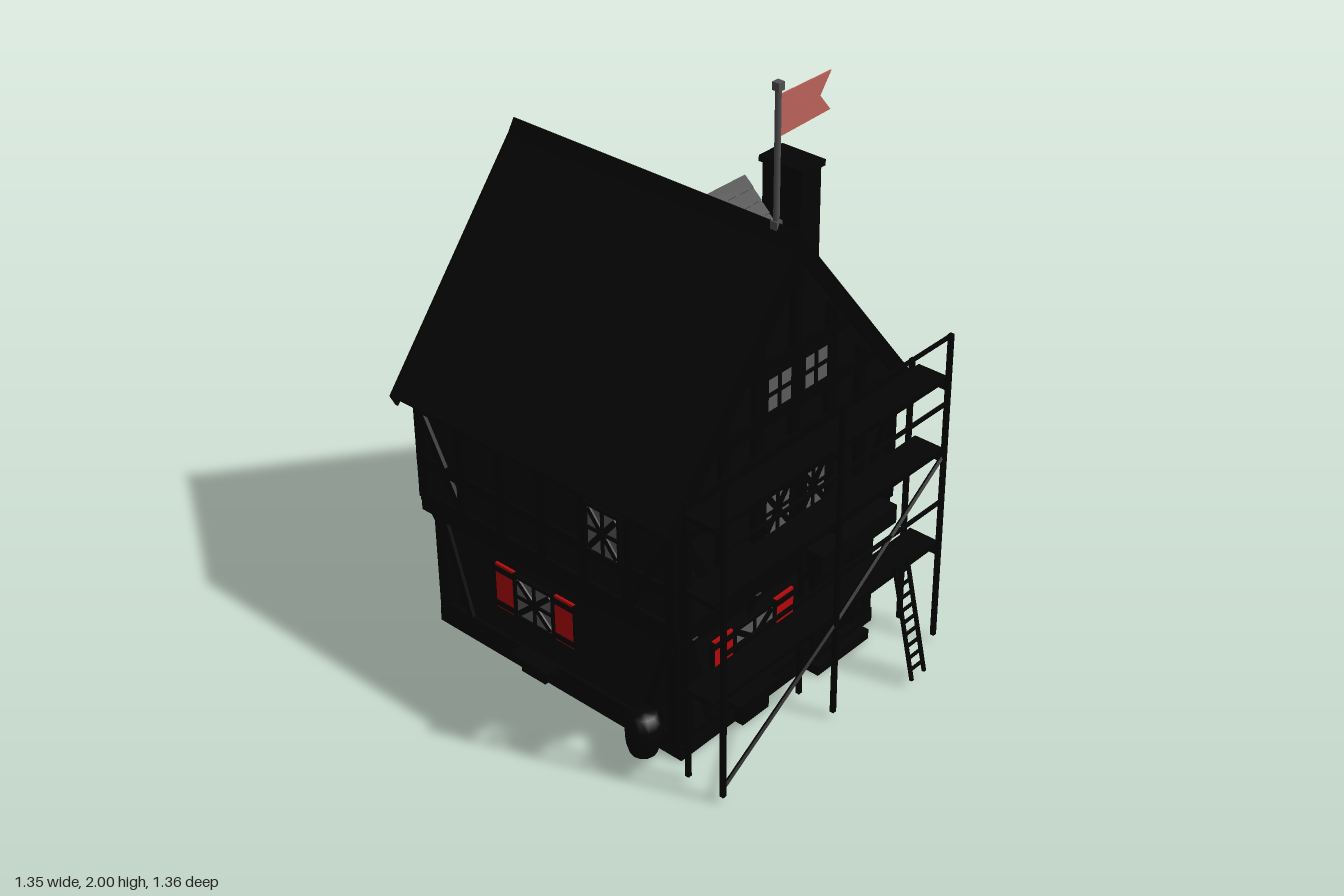
import * as THREE from 'three';

const mat = (name, color, side = THREE.FrontSide) => {
  const m = new THREE.MeshStandardMaterial({ color, side });
  m.name = name;
  return m;
};

export function createModel() {
  const M = {
    wall: mat('plaster', 0x050505), timber: mat('timber', 0x030303),
    roof: mat('roofTiles', 0x040404), stone: mat('stone', 0x040404),
    glass: mat('glass', 0x5c5c5c), shutter: mat('redShutter', 0xb80709),
    flag: mat('flagCloth', 0xbd645b, THREE.DoubleSide), metal: mat('poleMetal', 0x505050),
  };
  const root = new THREE.Group();
  root.name = 'timberHouse';

  const add = (parent, geo, m, name) => {
    const mesh = new THREE.Mesh(geo, m);
    mesh.name = name;
    parent.add(mesh);
    return mesh;
  };
  const group = (name, parent = root) => {
    const g = new THREE.Group();
    g.name = name;
    parent.add(g);
    return g;
  };
  // box given by its min and max on each axis
  const span = (p, name, m, x0, x1, y0, y1, z0, z1) => {
    const b = add(p, new THREE.BoxGeometry(x1 - x0, y1 - y0, z1 - z0), m, name);
    b.position.set((x0 + x1) / 2, (y0 + y1) / 2, (z0 + z1) / 2);
    return b;
  };
  // four walls around an open room
  const ring = (p, name, m, x0, x1, y0, y1, z0, z1, t) => {
    const g = group(name, p);
    span(g, 'frontWall', m, x0, x1, y0, y1, z1 - t, z1);
    span(g, 'backWall', m, x0, x1, y0, y1, z0, z0 + t);
    span(g, 'rightWall', m, x0, x0 + t, y0, y1, z0 + t, z1 - t);
    span(g, 'leftWall', m, x1 - t, x1, y0, y1, z0 + t, z1 - t);
  };
  // outline in x, y extruded from z0 to z1
  const prism = (p, name, m, pts, z0, z1) => {
    const shape = new THREE.Shape(pts.map(([x, y]) => new THREE.Vector2(x, y)));
    const geo = new THREE.ExtrudeGeometry(shape, { depth: z1 - z0, bevelEnabled: false });
    return add(p, geo.translate(0, 0, z0), m, name);
  };
  // square bar between two points
  const Z = new THREE.Vector3(0, 0, 1);
  const bar = (p, name, m, a, b, w = 0.014) => {
    const A = new THREE.Vector3(...a), B = new THREE.Vector3(...b);
    const mesh = add(p, new THREE.BoxGeometry(w, w, A.distanceTo(B)), m, name);
    mesh.position.copy(A).add(B).multiplyScalar(0.5);
    mesh.quaternion.setFromUnitVectors(Z, B.sub(A).normalize());
  };
  // flat timber on a wall group whose local z points outward
  const plank = (p, u0, v0, u1, v1, w = 0.035, t = 0.02) => {
    const b = add(p, new THREE.BoxGeometry(Math.hypot(u1 - u0, v1 - v0), w, t), M.timber, 'timberBeam');
    b.position.set((u0 + u1) / 2, (v0 + v1) / 2, t / 2);
    b.rotation.z = Math.atan2(v1 - v0, u1 - u0);
  };
  const face = (name, x, z, rot) => {
    const g = group(name);
    g.position.set(x, 0, z);
    g.rotation.y = rot;
    return g;
  };
  const makeWindow = (p, u, v, w, h, { cross = false, shutters = 0, pane = M.glass } = {}) => {
    const g = group('window', p);
    g.position.set(u, v, 0.012);
    span(g, 'pane', pane, -w / 2, w / 2, -h / 2, h / 2, 0, 0.008);
    const line = (a, b, c, d, t = 0.01) => plank(g, a, b, c, d, t, 0.014);
    line(-w / 2, 0, w / 2, 0);
    line(0, -h / 2, 0, h / 2);
    if (cross) for (const s of [-1, 1]) line(-w * 0.45, s * h * 0.44, w * 0.45, -s * h * 0.44, 0.018);
    for (const s of [-1, 1]) {
      plank(g, -w / 2 - 0.01, s * (h / 2 + 0.006), w / 2 + 0.01, s * (h / 2 + 0.006), 0.012, 0.016);
      plank(g, s * (w / 2 + 0.005), -h / 2, s * (w / 2 + 0.005), h / 2, 0.01, 0.016);
      if (!shutters) continue;
      // shutter leaf with two iron straps and a dark edge
      const c = s * (w / 2 + 0.01 + shutters / 2), k = shutters / 2, edge = c + s * (k + 0.004);
      span(g, 'shutter', M.shutter, c - k, c + k, -h / 2 - 0.012, h / 2 + 0.012, 0, 0.009);
      for (const t of [-1, 1]) line(c - k, t * (h / 2 - 0.006), c + k, t * (h / 2 - 0.006), 0.018);
      line(edge, -h / 2 - 0.012, edge, h / 2 + 0.012, 0.008);
    }
  };

  // Walls: the ground floor is an open room under the jetty
  const CX = -0.12, RIDGE = 1.565, SLOPE = 1.264;
  ring(root, 'plinth', M.stone, -0.57, 0.33, 0, 0.05, -0.645, 0.38, 0.04);
  ring(root, 'groundFloor', M.wall, -0.56, 0.32, 0.05, 0.45, -0.64, 0.37, 0.03);
  span(root, 'jettyFloor', M.timber, -0.605, 0.365, 0.44, 0.49, -0.655, 0.405);
  prism(root, 'upperFloorAndGables', M.wall,
    [[-0.6, 0.48], [0.36, 0.48], [0.36, 0.92], [CX, 1.53], [-0.6, 0.92]], -0.65, 0.4);

  // Gabled roof with overlapping tile courses, ridge along z
  const makeRoof = (p, name, cx, half, ridge, slope, t, z0, z1, rows) => {
    const g = group(name, p), low = ridge - half * slope, k = 0.025;
    prism(g, 'roofSlab', M.roof, [[cx - half, low], [cx - half + k, low - t * 0.55],
      [cx, ridge - t], [cx + half - k, low - t * 0.55], [cx + half, low], [cx, ridge]], z0, z1);
    const len = Math.hypot(half, half * slope), ang = Math.atan(slope);
    for (const s of [-1, 1]) for (let i = 0; i < rows; i++) {
      const f = (i + 0.5) / rows;
      const c = add(g, new THREE.BoxGeometry(len / rows, 0.006, z1 - z0 - 0.004), M.roof, 'tileCourse');
      c.position.set(cx + s * half * f, ridge - half * slope * f + 0.002, (z0 + z1) / 2);
      c.rotation.z = -s * (ang - 0.06);
    }
    return g;
  };
  const roof = makeRoof(root, 'mainRoof', CX, 0.55, RIDGE, SLOPE, 0.05, -0.675, 0.425, 16);
  prism(roof, 'ridgeCap', M.roof, [[CX - 0.03, 1.535], [CX + 0.03, 1.535], [CX, 1.585]], -0.68, 0.43);
  for (const z of [-0.683, 0.423]) for (const s of [-1, 1])
    prism(roof, 'bargeBoard', M.timber, [[0, 1.57], [0, 1.495], [-0.535, 0.83], [-0.555, 0.87]].map(
      ([x, y]) => [CX + s * x, y]), z, z + 0.012);

  // Side wing
  const WX = 0.475;
  prism(root, 'wingBody', M.wall,
    [[0.32, 0], [0.63, 0], [0.63, 0.45], [WX, 0.58], [0.32, 0.45]], -0.64, -0.13);
  makeRoof(root, 'wingRoof', WX, 0.195, 0.61, 0.9, 0.035, -0.66, -0.11, 6);

  // Half-timbered faces
  const half = Math.PI / 2;
  const ends = [face('frontUpperFrame', CX, 0.4, 0), face('backUpperFrame', CX, -0.65, Math.PI)];
  for (const f of ends) {
    for (const v of [0.5, 0.63, 0.82, 0.92]) plank(f, -0.48, v, 0.48, v);
    plank(f, -0.38, 1.04, 0.38, 1.04);
    plank(f, -0.24, 1.21, 0.24, 1.21);
    plank(f, 0, 0.48, 0, 1.5);
    for (const s of [-1, 1]) {
      for (const u of [0.16, 0.31, 0.462]) plank(f, s * u, 0.48, s * u, 0.92);
      plank(f, s * 0.31, 0.5, s * 0.46, 0.8, 0.025);
      plank(f, s * 0.16, 0.92, s * 0.16, 1.3);
      plank(f, s * 0.3, 0.92, s * 0.3, 1.1);
      makeWindow(f, s * 0.08, 1.125, 0.106, 0.11);
      makeWindow(f, s * 0.08, 0.725, 0.11, 0.15, { cross: true });
    }
  }
  const sides = [face('leftUpperFrame', 0.36, -0.125, half), face('rightUpperFrame', -0.6, -0.125, -half)];
  sides.forEach((f, i) => {
    const d = i ? 1 : -1;
    for (const v of [0.5, 0.63, 0.82]) plank(f, -0.525, v, 0.525, v, 0.035, 0.012);
    for (const u of [-0.505, -0.34, -0.17, 0, 0.17, 0.34, 0.505])
      plank(f, u, 0.48, u, 0.88, 0.035, 0.012);
    for (const s of [-1, 1]) plank(f, s * 0.34, 0.5, s * 0.5, 0.8, 0.025, 0.012);
    makeWindow(f, d * 0.26, 0.725, 0.12, 0.15, { cross: true });
  });

  // Ground floor timbers, windows and shutters
  const low = [
    [face('frontLowerFrame', CX, 0.37, 0), 0.44], [face('backLowerFrame', CX, -0.64, Math.PI), 0.44],
    [face('leftLowerFrame', 0.32, -0.135, half), 0.505], [face('rightLowerFrame', -0.56, -0.135, -half), 0.505],
  ];
  for (const [f, w] of low) {
    plank(f, -w, 0.42, w, 0.42, 0.04, 0.012);
    plank(f, -w, 0.07, w, 0.07, 0.03, 0.012);
    for (const s of [-1, 1]) {
      plank(f, s * (w - 0.02), 0.05, s * (w - 0.02), 0.44, 0.04, 0.012);
      plank(f, s * w * 0.73, 0.08, s * w * 0.92, 0.4, 0.025, 0.012);
    }
    // slanted brackets under the jetty
    for (const u of [-0.95, -0.32, 0.32, 0.95])
      bar(f, 'jettyBracket', M.timber, [u * w, 0.37, 0.002], [u * w, 0.45, 0.03], 0.022);
  }
  makeWindow(low[0][0], -0.14, 0.283, 0.17, 0.14, { cross: true, shutters: 0.085 });
  makeWindow(low[1][0], -0.33, 0.28, 0.09, 0.12, { cross: true, shutters: 0.05, pane: M.shutter });
  makeWindow(low[3][0], -0.065, 0.283, 0.15, 0.14, { cross: true, shutters: 0.08 });

  // Inner panes of the ground floor windows, facing the room
  const inside = [face('frontInnerWindow', -0.28, 0.352, Math.PI), face('rightInnerWindow', -0.542, -0.25, half)];
  for (const f of inside) makeWindow(f, 0, 0.283, 0.14, 0.14);

  const wing = face('wingSideFrame', 0.63, -0.385, half);
  for (const v of [0.03, 0.41]) plank(wing, -0.25, v, 0.25, v, 0.03, 0.006);
  for (const u of [-0.24, 0.24]) plank(wing, u, 0.02, u, 0.42, 0.03, 0.006);
  span(wing, 'wingShutter', M.shutter, -0.075, 0.025, 0.22, 0.32, 0, 0.006);
  for (const f of [face('wingFrontFrame', WX, -0.13, 0), face('wingBackFrame', WX, -0.64, Math.PI)]) {
    plank(f, -0.15, 0.42, 0.15, 0.42, 0.03, 0.012);
    for (const s of [-1, 1]) plank(f, s * 0.14, 0.02, s * 0.14, 0.42, 0.03, 0.012);
    plank(f, 0, 0.42, 0, 0.56, 0.025, 0.012);
  }

  // Door, canopy, steps and benches
  const entry = group('entrance');
  span(entry, 'door', M.timber, 0.04, 0.21, 0.06, 0.38, 0.37, 0.385);
  for (const x of [0.02, 0.21]) span(entry, 'doorPost', M.timber, x, x + 0.025, 0.05, 0.4, 0.37, 0.395);
  span(entry, 'canopy', M.roof, -0.06, 0.3, 0.44, 0.505, 0.38, 0.48);
  for (const x of [-0.03, 0.27]) bar(entry, 'canopyBracket', M.timber, [x, 0.37, 0.38], [x, 0.44, 0.46], 0.02);
  span(entry, 'lowerStep', M.stone, 0, 0.25, 0, 0.035, 0.37, 0.43);
  span(entry, 'upperStep', M.stone, 0.02, 0.23, 0.035, 0.06, 0.37, 0.405);
  span(root, 'frontBench', M.timber, -0.36, -0.18, 0.07, 0.095, 0.37, 0.425);
  span(root, 'frontBenchBase', M.timber, -0.33, -0.21, 0, 0.07, 0.38, 0.41);
  span(root, 'sideBench', M.timber, -0.62, -0.56, 0.06, 0.085, -0.28, -0.12);
  span(root, 'sideBenchBase', M.timber, -0.6, -0.57, 0.02, 0.06, -0.25, -0.15);

  // Hanging shield beside the door
  prism(root, 'shield', M.flag,
    [[0.082, 0.598], [0.082, 0.555], [0.112, 0.525], [0.142, 0.555], [0.142, 0.598]], 0.422, 0.43);

  // Chimney
  const chimney = group('chimney');
  span(chimney, 'shaft', M.stone, 0.362, 0.455, 0, 1.45, -0.12, 0.03);
  span(chimney, 'cap', M.stone, 0.353, 0.463, 1.445, 1.465, -0.128, 0.04);

  // Dormer, built along z then turned to face the side
  const dormer = group('dormer');
  dormer.position.z = -0.055;
  dormer.rotation.y = half;
  prism(dormer, 'dormerBody', M.wall,
    [[-0.095, 1.15], [0.095, 1.15], [0.095, 1.36], [0, 1.455], [-0.095, 1.36]], -0.04, 0.18);
  makeRoof(dormer, 'dormerRoof', 0, 0.125, 1.475, 1, 0.03, -0.04, 0.207, 4);
  const dormerFace = group('dormerFace', dormer);
  dormerFace.position.z = 0.17;
  makeWindow(dormerFace, 0, 1.28, 0.065, 0.1);

  // Flagpole and swallow-tailed flag
  const flag = group('flagpole');
  flag.position.set(CX, 0, 0.335);
  add(flag, new THREE.CylinderGeometry(0.009, 0.009, 0.44, 8), M.metal, 'pole').position.y = 1.77;
  span(flag, 'poleTop', M.metal, -0.012, 0.012, 1.976, 2, -0.012, 0.012);
  span(flag, 'poleFoot', M.metal, -0.012, 0.012, 1.56, 1.59, -0.012, 0.012);
  prism(flag, 'flag', M.flag,
    [[0.007, 1.838], [0.22, 1.845], [0.175, 1.9], [0.22, 1.96], [0.007, 1.96]], -0.002, 0.002);

  // Scaffold
  const sc = group('scaffold');
  for (const x of [-0.62, CX, 0.38]) {
    bar(sc, 'outerPole', M.timber, [x, 0.02, 0.585], [x, 1.11, 0.585]);
    bar(sc, 'innerPole', M.timber, [x, 0.02, 0.452], [x, 0.975, 0.452]);
    for (const y of [0.335, 0.675, 0.927]) bar(sc, 'crossBar', M.timber, [x, y, 0.45], [x, y, 0.59]);
  }
  for (const y of [0.345, 0.685, 0.937]) span(sc, 'deck', M.timber, -0.64, 0.4, y - 0.004, y + 0.014, 0.462, 0.567);
  for (const y of [0.52, 0.87, 1.1]) bar(sc, 'guardRail', M.timber, [-0.62, y, 0.58], [0.38, y, 0.58], 0.01);
  bar(sc, 'lowerBrace', M.timber, [-0.62, 0.04, 0.58], [CX, 0.345, 0.58], 0.01);
  bar(sc, 'upperBrace', M.timber, [CX, 0.345, 0.58], [0.38, 0.685, 0.58], 0.01);

  // Ladder
  const ladder = group('ladder');
  for (const x of [0.148, 0.21]) bar(ladder, 'ladderRail', M.timber, [x, 0.025, 0.677], [x, 0.41, 0.592], 0.01);
  for (let i = 0; i < 9; i++) {
    const y = 0.06 + i * 0.04, z = 0.677 - (y - 0.025) * 0.22;
    bar(ladder, 'rung', M.timber, [0.148, y, z], [0.21, y, z], 0.008);
  }

  // Barrel
  const profile = [[0, 0], [0.042, 0], [0.053, 0.04], [0.056, 0.07], [0.053, 0.1], [0.042, 0.14], [0, 0.14]];
  add(root, new THREE.LatheGeometry(profile.map(([r, y]) => new THREE.Vector2(r, y)), 12), M.timber, 'barrel')
    .position.set(-0.624, 0.022, 0.28);

  return root;
}
